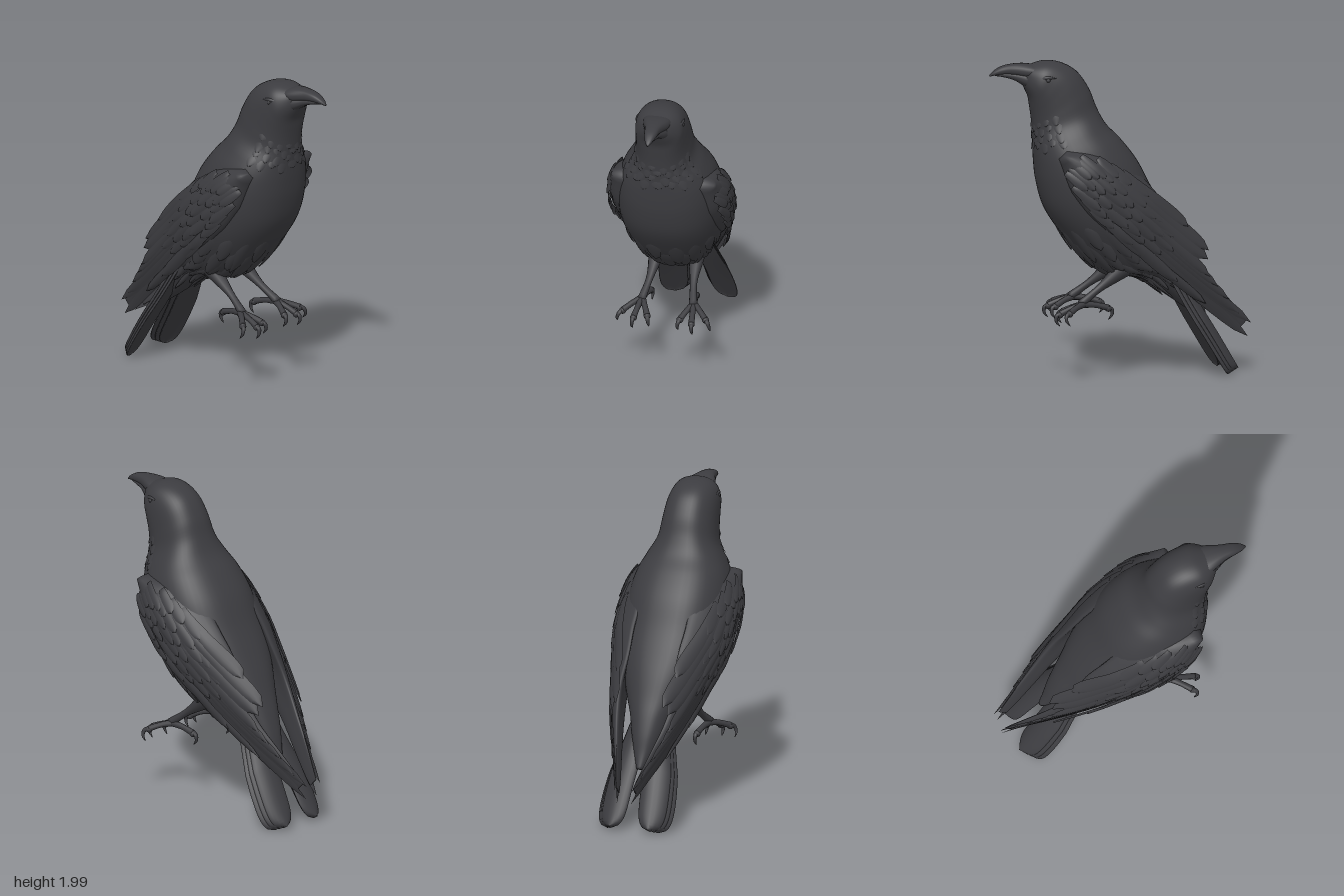
import * as THREE from 'three';
import { mergeGeometries } from 'three/addons/utils/BufferGeometryUtils.js';

const V = (x, y, z) => new THREE.Vector3(x, y, z);
const plumage = new THREE.MeshStandardMaterial({ color: 0x3c3c40, side: THREE.DoubleSide });

// Smooth curve through [x, y, z] triples, evaluated at s in 0..1
function spline(rows) {
  const c = new THREE.CatmullRomCurve3(rows.map(r => V(r[0], r[1], r[2] || 0)));
  return s => c.getPoint(Math.min(1, Math.max(0, s)));
}

// Grid surface fn(a, b); 'closed' wraps b and caps both ends
function surface(fn, na, nb, closed) {
  const pos = [], idx = [], cols = closed ? nb : nb + 1;
  const rings = [];
  for (let i = 0; i <= na; i++) {
    const ring = [];
    for (let j = 0; j < cols; j++) ring.push(fn(i / na, j / nb));
    rings.push(ring);
  }
  if (closed) {
    const cap = ring => {
      const m = ring.reduce((s, p) => s.add(p), V(0, 0, 0)).divideScalar(cols);
      return ring.map(() => m);
    };
    rings.unshift(cap(rings[0]));
    rings.push(cap(rings[rings.length - 1]));
  }
  rings.forEach(r => r.forEach(p => pos.push(p.x, p.y, p.z)));
  for (let i = 0; i < rings.length - 1; i++) for (let j = 0; j < nb; j++) {
    const k = (j + 1) % cols, a = i * cols, b = a + cols;
    idx.push(a + j, b + j, a + k, a + k, b + j, b + k);
  }
  const g = new THREE.BufferGeometry();
  g.setAttribute('position', new THREE.Float32BufferAttribute(pos, 3));
  g.setIndex(idx);
  g.computeVertexNormals();
  return g;
}

// Loft between an upper profile and a lower profile; rows are [topX, topY, lowX, lowY, halfWidth]
function profileLoft(rows, power) {
  const top = spline(rows.map(r => [r[0], r[1], r[4]]));
  const low = spline(rows.map(r => [r[2], r[3], 0]));
  const soft = n => Math.sign(n) * Math.pow(Math.abs(n), power);
  return (s, t, lift = 0) => {
    const A = top(s), B = low(s), w = Math.max(A.z, 0.004);
    const c = V((A.x + B.x) / 2, (A.y + B.y) / 2, 0);
    const k = soft(Math.cos(t)), out = V((A.x - B.x) / 2 * k, (A.y - B.y) / 2 * k, w * soft(Math.sin(t)));
    return c.add(out.setLength(out.length() + lift));
  };
}

// One feather laid on a surface surf(u, v, lift)
function feather(surf, u0, v0, u1, v1, width, lift, tip) {
  return surface((a, b) => {
    const side = b * 2 - 1;
    const w = width * Math.pow(a + 0.08, 0.35) * Math.sqrt(Math.max(0, 1 - Math.pow(a, tip)));
    const h = -0.012 + (lift + 0.012) * Math.sqrt(a) - 0.4 * lift * side * side;
    return surf(u0 + (u1 - u0) * a, v0 + (v1 - v0) * a + side * w, h);
  }, 12, 6, false);
}

// Tapered limb along points, radius interpolated over the list
function limb(points, radii) {
  const c = new THREE.CatmullRomCurve3(points.map(p => V(...p)));
  const n = 18, frames = c.computeFrenetFrames(n, false), r = spline(radii.map((q, i) => [i, q]));
  return surface((a, b) => {
    const i = Math.round(a * n), t = b * Math.PI * 2, q = r(a).y;
    return c.getPointAt(a).addScaledVector(frames.normals[i], q * Math.cos(t)).addScaledVector(frames.binormals[i], q * Math.sin(t));
  }, n, 10, true);
}

// Body sections: back x, y, belly x, y, half width
const bodySections = [
  [0.61, 1.965, 0.62, 1.86, 0.055], [0.56, 1.98, 0.6, 1.82, 0.1], [0.47, 2.0, 0.578, 1.77, 0.143],
  [0.37, 1.985, 0.568, 1.71, 0.157], [0.275, 1.93, 0.56, 1.65, 0.165], [0.198, 1.82, 0.555, 1.6, 0.174],
  [0.15, 1.7, 0.55, 1.54, 0.192], [0.095, 1.6, 0.545, 1.46, 0.245], [0, 1.5, 0.54, 1.37, 0.292],
  [-0.1, 1.37, 0.525, 1.24, 0.32], [-0.19, 1.2, 0.48, 1.08, 0.325], [-0.27, 1.06, 0.38, 0.92, 0.31],
  [-0.34, 0.93, 0.25, 0.765, 0.26], [-0.4, 0.8, 0.1, 0.655, 0.2], [-0.45, 0.69, -0.1, 0.62, 0.14],
  [-0.49, 0.58, -0.25, 0.53, 0.1], [-0.52, 0.47, -0.41, 0.42, 0.055], [-0.55, 0.38, -0.5, 0.36, 0.02]];
const body = profileLoft(bodySections, 0.87);

// Wing plane: u runs shoulder to tip, v runs up across the wing; table holds z, upper v, lower v
const wingTable = spline([[0.33, 0.02, -0.05], [0.377, 0.18, -0.15], [0.382, 0.23, -0.18], [0.36, 0.22, -0.17],
  [0.31, 0.19, -0.13], [0.26, 0.12, -0.11], [0.203, 0.075, -0.09], [0.14, 0.055, -0.08], [0.075, 0.03, -0.06], [0.025, 0, -0.03]]);
function wingSurface(u, v, lift = 0) {
  const z = wingTable(u / 1.8).x - 0.6 * v * v - 2 * Math.max(0, v) ** 2;
  return V(0.4 - 0.719 * u - 0.695 * v, 1.45 - 0.695 * u + 0.719 * v, z + lift);
}

export function createModel() {
  const model = new THREE.Group();
  const add = (parent, name, geo) => {
    const m = new THREE.Mesh(geo, plumage);
    m.name = name;
    parent.add(m);
    return m;
  };

  add(model, 'body', surface((a, b) => body(a, b * Math.PI * 2), 90, 48, true));

  // Pointed feathers on belly, undertail and throat
  const tufts = [];
  const bodyRow = (s, len, count, spread, width, lift, tip) => {
    for (let i = 0; i < count; i++) {
      const t = Math.PI + spread * ((i + 0.5) / count * 2 - 1);
      const reach = len * (1 + 0.25 * Math.sin(i * 2.4 + s * 5));
      tufts.push(feather(body, s / 17, t, (s + reach) / 17, t, width, lift, tip));
    }
  };
  [10.7, 11.3, 11.9, 12.5, 13.1, 13.7].forEach((s, k) => bodyRow(s, 1.4, 8 + k % 2, 1.6, 0.22, 0.022, 1.5));
  [4.6, 5.2, 5.8, 6.3].forEach((s, k) => bodyRow(s, 0.9, 8 + k % 2, 1.4, 0.19, 0.009, 1.6));
  add(model, 'bodyFeathers', mergeGeometries(tufts));

  // Beak
  const upper = profileLoft([[0.5, 1.965, 0.5, 1.88, 0.1], [0.58, 1.984, 0.59, 1.895, 0.085], [0.67, 1.987, 0.68, 1.915, 0.052],
    [0.75, 1.972, 0.75, 1.92, 0.038], [0.8, 1.944, 0.8, 1.915, 0.022], [0.828, 1.918, 0.824, 1.908, 0.006]], 0.8);
  const lower = profileLoft([[0.5, 1.93, 0.53, 1.81, 0.1], [0.59, 1.935, 0.6, 1.84, 0.08], [0.67, 1.935, 0.67, 1.882, 0.046],
    [0.74, 1.934, 0.74, 1.904, 0.031], [0.79, 1.925, 0.79, 1.912, 0.012]], 0.8);
  add(model, 'upperBeak', surface((a, b) => upper(a, b * Math.PI * 2), 24, 20, true));
  add(model, 'lowerBeak', surface((a, b) => lower(a, b * Math.PI * 2), 20, 20, true));

  for (const side of [1, -1]) {
    const half = new THREE.Group();
    half.name = side > 0 ? 'nearSide' : 'farSide';
    half.scale.z = side;
    model.add(half);

    // Eye under a low brow
    const eye = body(2.5 / 17, 1.4, -0.008);
    add(half, 'eye', new THREE.SphereGeometry(0.015, 16, 12)).position.copy(eye);
    add(half, 'brow', limb([[eye.x - 0.05, eye.y + 0.012, eye.z + 0.002], [eye.x, eye.y + 0.016, eye.z],
      [eye.x + 0.07, eye.y + 0.002, eye.z - 0.028]], [0.003, 0.012, 0.003]));

    // Folded wing core
    add(half, 'wing', surface((a, b) => {
      const u = a * 1.64, w = wingTable(u / 1.8), t = b * Math.PI * 2;
      const thick = 0.085 * (1 - a) + 0.006;
      const v = (w.y + w.z) / 2 + (w.y - w.z) / 2 * Math.cos(t);
      return wingSurface(u, v, thick * (Math.sin(t) - 1));
    }, 50, 28, true));

    // Long flight feathers: root u, v, tip u, v, width
    const flight = [[0.5, -0.13, 1.72, -0.04, 0.04], [0.5, -0.1, 1.67, 0.035, 0.042], [0.5, -0.06, 1.57, 0.025, 0.042],
      [0.5, -0.03, 1.45, 0.045, 0.036], [0.45, 0, 1.33, 0.055, 0.038], [0.45, 0.04, 1.24, 0.065, 0.045],
      [0.4, 0.08, 1.16, 0.135, 0.055], [0.35, 0.13, 1.13, 0.18, 0.05], [0.35, 0.16, 0.92, 0.2, 0.045],
      [0.5, -0.14, 1.35, -0.075, 0.035], [0.45, -0.13, 1.1, -0.1, 0.045]];
    add(half, 'flightFeathers', mergeGeometries(flight.map((f, i) =>
      feather(wingSurface, ...f, 0.004 + 0.003 * Math.min(i, 7), 6))));

    // Overlapping covert rows
    const coverts = [];
    for (let r = 0; r < 7; r++) {
      const u = 0.07 + r * 0.09, w = wingTable((u + 0.03) / 1.8), n = 5 + r % 2;
      for (let i = 0; i < n; i++) {
        const v = w.z + (w.y - 0.03 - w.z) * (i + 0.5) / n;
        const len = 0.17 + 0.02 * r + 0.04 * Math.sin(i * 2.1 + r * 1.7);
        coverts.push(feather(wingSurface, u, v, u + len, v * 0.95 + 0.008, 0.038, 0.013, 3));
      }
    }
    add(half, 'wingCoverts', mergeGeometries(coverts));

    // Tail lobe of three overlapping rounded feathers, its outer edge turned slightly forward
    const tail = [];
    for (let k = 0; k < 3; k++) {
      const path = spline([[-0.3, 0.7, 0.06 + k * 0.01], [-0.425, 0.47, 0.09 + k * 0.012],
        [-0.562, 0.24, 0.118 + k * 0.017], [-0.688, 0.02 + k * 0.004, 0.13 + k * 0.018]]);
      tail.push(surface((a, b) => {
        const t = b * Math.PI * 2, p = path(a), q = Math.cos(t);
        const w = (0.045 + 0.045 * Math.min(1, a * 2)) * Math.sqrt(Math.max(0, 1 - Math.pow(a, 14)));
        const back = 0.016 * Math.sin(t) - 0.02 * q * q - 0.016 * q * w / 0.09 + 0.024 * (1 - k) + 0.01;
        return V(p.x - back * 0.86, p.y + back * 0.5, p.z + w * q);
      }, 40, 20, true));
    }
    add(half, 'tail', mergeGeometries(tail));

    // Leg, three front toes and hind toe, each with a hooked claw
    add(half, 'leg', limb([[-0.06, 0.74, 0.12], [0.06, 0.645, 0.13], [0.16, 0.57, 0.14], [0.28, 0.48, 0.165]],
      [0.075, 0.045, 0.023, 0.027]));
    const toes = [[0.37, 0.44, 0.265, 0.03], [0.415, 0.425, 0.185, 0.006], [0.385, 0.43, 0.105, -0.012], [0.1, 0.45, 0.145, -0.005]];
    toes.forEach(([x, y, z, dz], i) => {
      const f = i === 3 ? -1 : 1, root = [0.26, 0.48, 0.165];
      const mid = [(root[0] + x) / 2, (root[1] + y) / 2 + 0.006, (root[2] + z) / 2];
      add(half, 'toe', limb([root, mid, [x, y, z]], [0.023, 0.018, 0.02]));
      add(half, 'claw', limb([[x - f * 0.005, y, z], [x + f * 0.022, y - 0.012, z + dz * 0.6],
        [x + f * 0.024, y - 0.045, z + dz], [x + f * 0.002, y - 0.075, z + dz]], [0.017, 0.013, 0.009, 0.002]));
      add(half, 'toePad', new THREE.SphereGeometry(0.022, 12, 8)).position.set(x, y - 0.004, z);
    });
  }
  return model;
}
